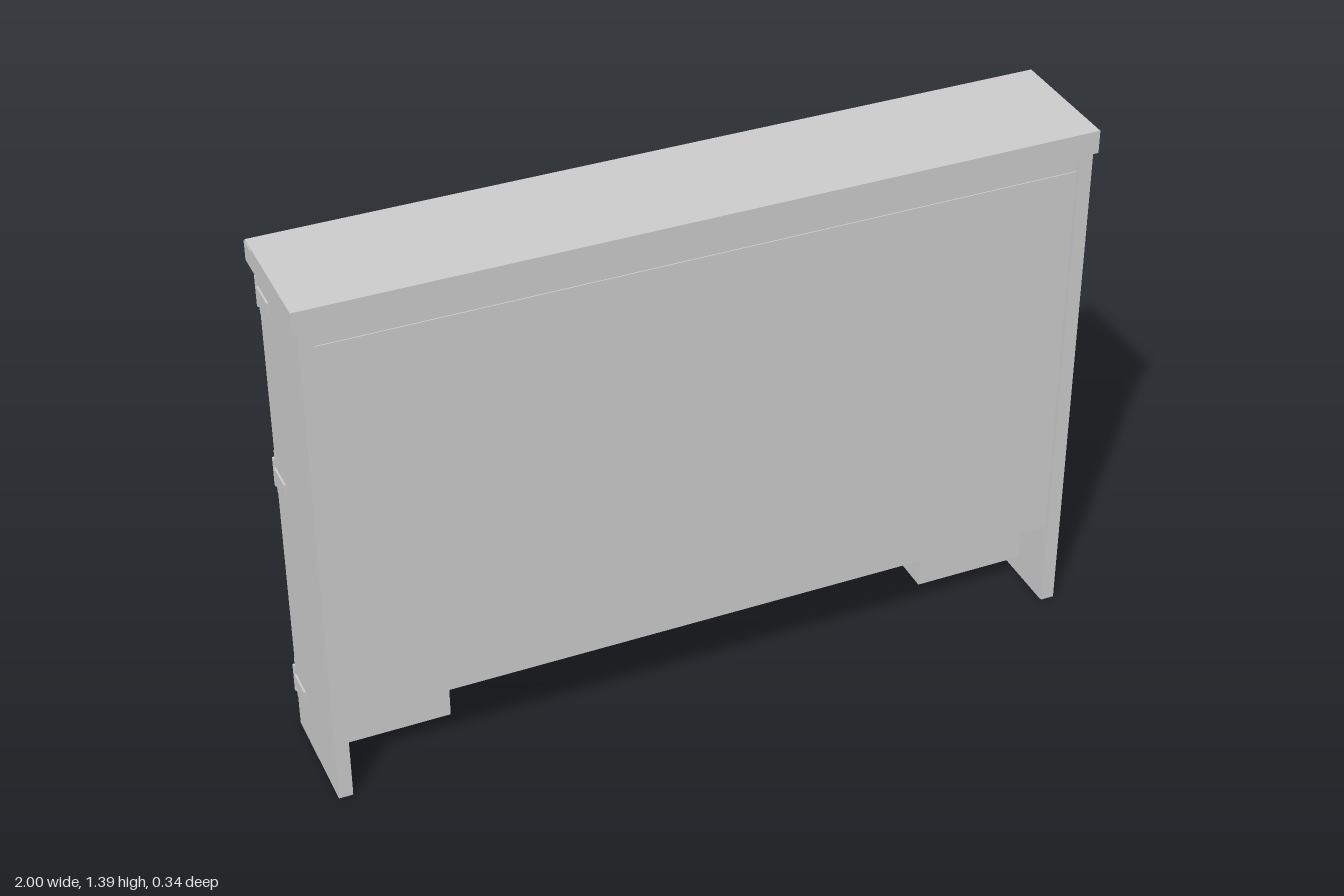
import * as THREE from 'three';

export function createModel() {
  const root = new THREE.Group();
  const mat = new THREE.MeshStandardMaterial({ color: 0xcccccc });

  // Box given by its min and max on each axis
  function box(name, x0, x1, y0, y1, z0, z1) {
    const m = new THREE.Mesh(new THREE.BoxGeometry(x1 - x0, y1 - y0, z1 - z0), mat);
    m.position.set((x0 + x1) / 2, (y0 + y1) / 2, (z0 + z1) / 2);
    m.name = name;
    root.add(m);
    return m;
  }
  // The same box on both sides
  function pair(name, x0, x1, ...r) {
    box(name, x0, x1, ...r);
    box(name, -x1, -x0, ...r);
  }

  // Top board with a lip at the sides and back
  box('topBoard', -0.998, 0.998, 1.36, 1.395, -0.165, 0.17);
  pair('topSideLip', 0.982, 0.998, 1.335, 1.36, -0.165, 0.17);
  box('topBackLip', -0.982, 0.982, 1.335, 1.36, -0.165, -0.145);
  pair('topCornerBracket', 0.95, 1, 1.34, 1.39, -0.168, -0.12);

  // Side walls: inner sheet faced with upright planks
  pair('sideSheet', 0.948, 0.965, 0, 1.36, -0.135, 0.165);
  const seams = [-0.14, -0.065, 0.015, 0.095, 0.17];
  for (let i = 0; i < 4; i++) {
    pair('sidePlank', 0.95, 0.985, 0, 1.36, seams[i] + 0.002, seams[i + 1] - 0.002);
  }

  // Iron straps wrapping the open corners
  for (const y of [0.145, 0.77, 1.27]) {
    pair('strapArm', 0.98, 0.99, y - 0.015, y + 0.015, -0.143, -0.058);
    pair('strapPlate', 0.955, 0.99, y - 0.04, y + 0.04, -0.145, -0.136);
    pair('strapTip', 0.965, 0.985, y - 0.06, y + 0.06, -0.143, -0.136);
  }

  // Rear sheet, rails and plinth
  box('panel', -0.95, 0.95, 0.235, 1.29, 0.145, 0.16);
  box('panelTopRail', -0.95, 0.95, 1.31, 1.36, 0.14, 0.165);
  box('panelTopStrip', -0.95, 0.95, 1.285, 1.31, 0.135, 0.157);
  box('openSideRail', -0.95, 0.95, 1.29, 1.36, -0.13, -0.11);
  box('plinth', -0.95, 0.95, 0, 0.07, -0.138, -0.115);

  // Pigeonhole grid
  const cols = 9, rows = 7, yLow = 0.235, yHigh = 1.29;
  const cw = 1.9 / cols, rh = (yHigh - yLow) / rows, t = 0.006;
  for (let r = 0; r <= rows; r++) {
    const y = yLow + r * rh;
    box('shelf', -0.95, 0.95, y - t, y + t, -0.125, 0.15);
  }
  for (let c = 1; c < cols; c++) {
    const x = -0.95 + c * cw;
    box('divider', x - t, x + t, yLow, yHigh, -0.122, 0.15);
  }

  // Open end compartments
  pair('endFloor', 0.65, 0.95, 0.052, 0.07, -0.13, 0.04);
  pair('endBack', 0.65, 0.95, 0.07, 0.21, 0.028, 0.04);
  pair('endWall', 0.65, 0.658, 0.07, 0.21, -0.13, 0.04);

  // Drawers with bar handles
  for (let i = 0; i < 4; i++) {
    const x = -0.64 + 0.32 * i;
    box('drawer', x + 0.002, x + 0.318, 0.07, 0.21, -0.137, -0.105);
    box('drawerHandle', x + 0.125, x + 0.195, 0.139, 0.151, -0.155, -0.147);
    for (const hx of [0.125, 0.187]) {
      box('handlePost', x + hx, x + hx + 0.008, 0.139, 0.151, -0.148, -0.136);
    }
  }

  // Bottles lying with necks toward the open side
  const profile = [[0, 0], [0.028, 0], [0.03, 0.004], [0.03, 0.115], [0.026, 0.13],
    [0.013, 0.146], [0.011, 0.18], [0.014, 0.182], [0.014, 0.193], [0.009, 0.195], [0, 0.195]]
    .map(([x, y]) => new THREE.Vector2(x, y));
  const bottleGeo = new THREE.LatheGeometry(profile, 14);
  bottleGeo.rotateX(-Math.PI / 2);

  // Filled rows (from the top) for each column, starting at +x
  const filled = [[], [], [3, 5, 7], [2, 3, 6, 7], [1, 2, 4, 5, 7], [5, 6, 7],
    [5, 7], [1, 2, 5, 6, 7], [1, 2, 5, 6, 7]];
  filled.forEach((list, c) => {
    for (const r of list) {
      const pile = new THREE.Group();
      pile.name = 'bottlePile';
      for (const [dx, dy] of [[-0.032, 0.03], [0.032, 0.03], [0, 0.081]]) {
        const b = new THREE.Mesh(bottleGeo, mat);
        b.name = 'bottle';
        b.position.set(dx, dy, 0);
        pile.add(b);
      }
      pile.position.set(0.95 - (c + 0.5) * cw, yHigh - r * rh + t, 0.075);
      root.add(pile);
    }
  });

  return root;
}
